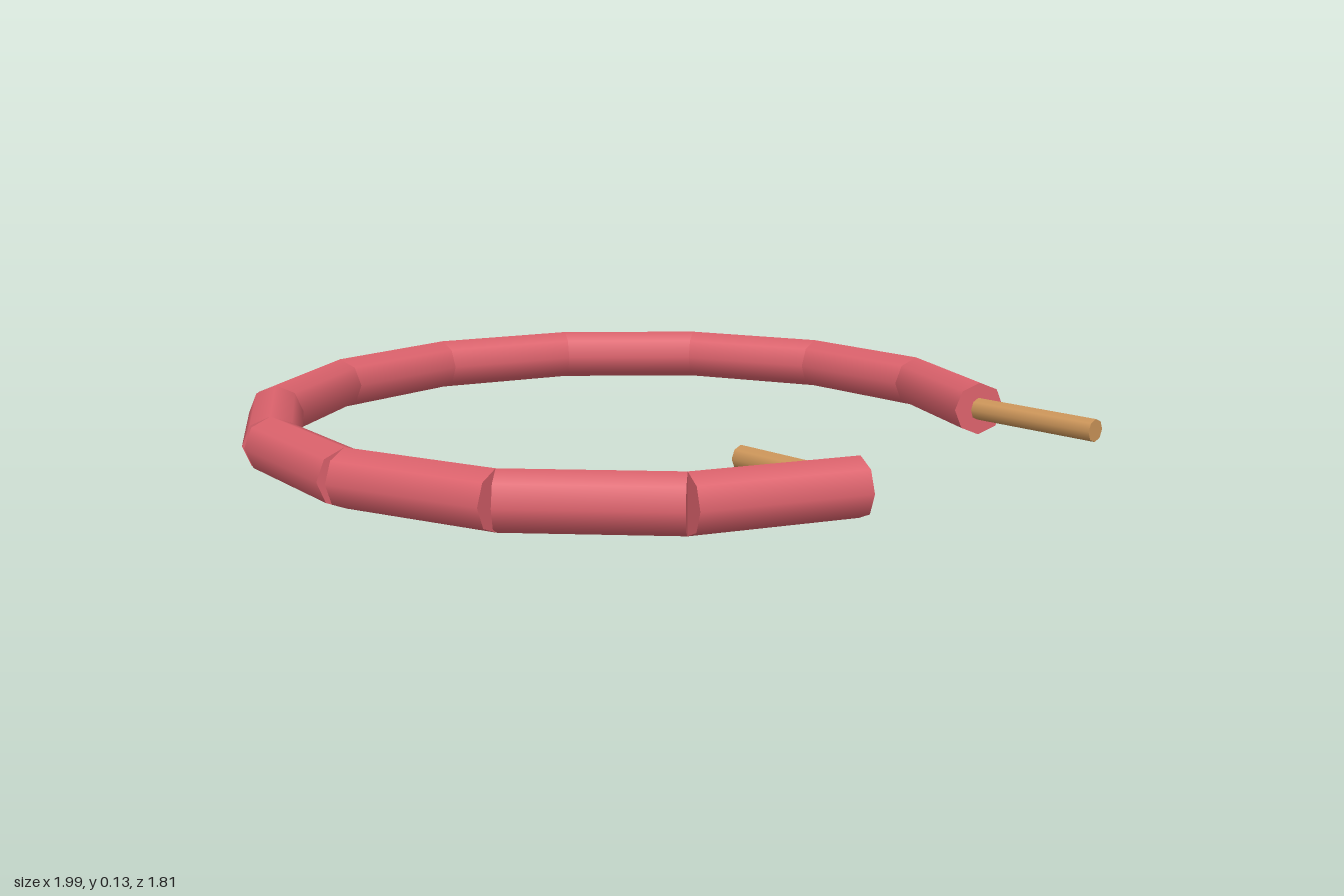
import * as THREE from 'three';

const HOSE_RADIUS = 0.064, ROD_RADIUS = 0.027;

// Horizontal cylinder between two points given as [x, z]
function bar(name, a, b, radius, material) {
  const dx = b[0] - a[0], dz = b[1] - a[1];
  const geometry = new THREE.CylinderGeometry(radius, radius, Math.hypot(dx, dz), 8);
  geometry.rotateZ(Math.PI / 2);
  const mesh = new THREE.Mesh(geometry, material);
  mesh.name = name;
  mesh.position.set((a[0] + b[0]) / 2, HOSE_RADIUS, (a[1] + b[1]) / 2);
  mesh.rotation.y = -Math.atan2(dz, dx);
  return mesh;
}

export function createModel() {
  const model = new THREE.Group();
  model.name = 'openRing';
  const red = new THREE.MeshStandardMaterial({ color: 0xdc626c });
  const tan = new THREE.MeshStandardMaterial({ color: 0xcd965a });

  // Open ring of twelve straight segments, 25 degrees each
  const ring = new THREE.Group();
  ring.name = 'ring';
  const joint = (i) => {
    const t = THREE.MathUtils.degToRad(35 + i * 25);
    return [-0.08 + 0.85 * Math.cos(t), -0.005 + 0.85 * Math.sin(t)];
  };
  for (let i = 0; i < 12; i++) {
    ring.add(bar(`ringSegment${i + 1}`, joint(i), joint(i + 1), HOSE_RADIUS, red));
  }
  model.add(ring);

  // Parallel rods at the two open ends
  model.add(bar('backRod', [0.688, -0.362], [0.985, -0.215], ROD_RADIUS, tan));
  model.add(bar('frontRod', [0.612, 0.475], [0.315, 0.328], ROD_RADIUS, tan));
  return model;
}
